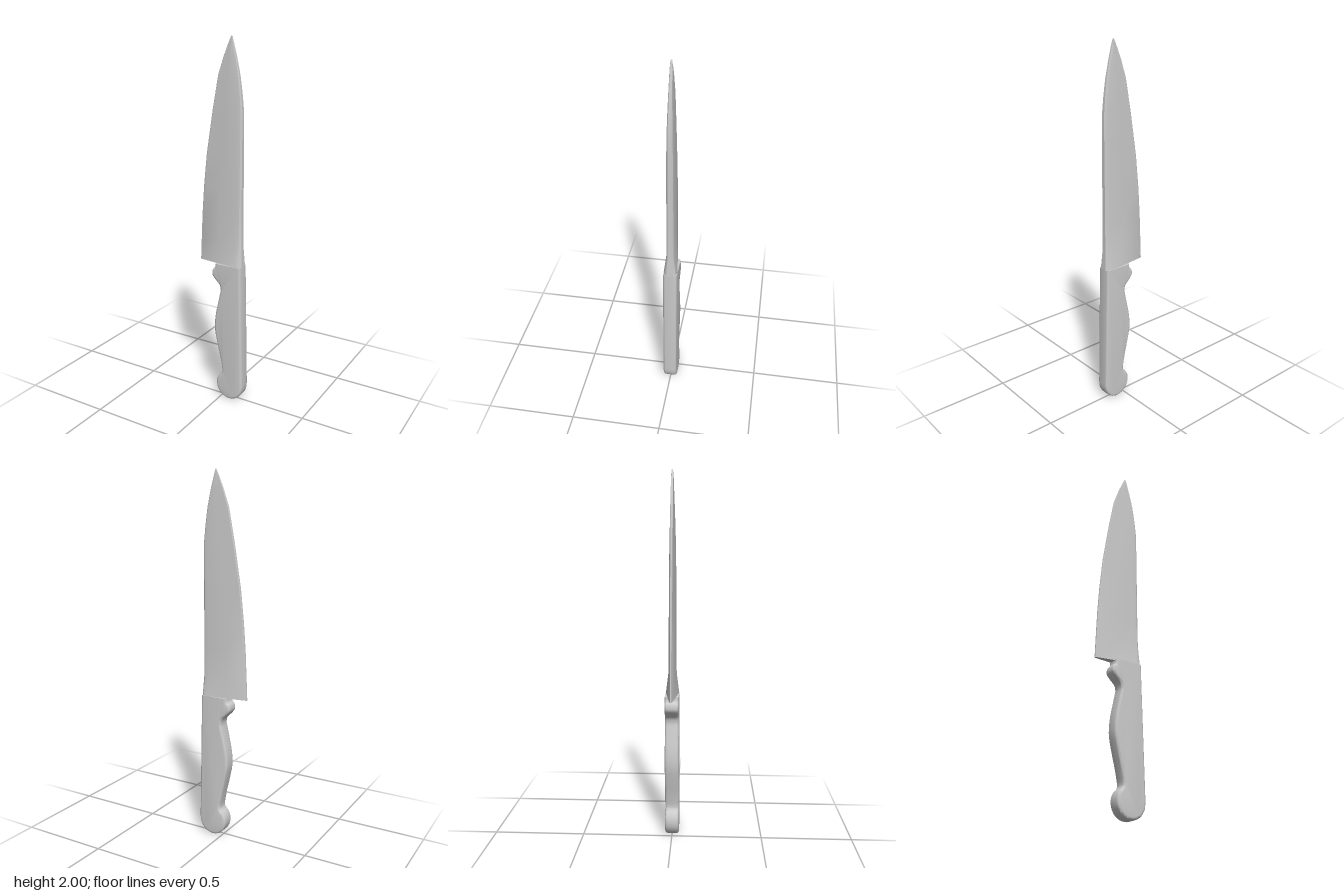
import * as THREE from 'three';
import { toCreasedNormals } from 'three/addons/utils/BufferGeometryUtils.js';

const material = new THREE.MeshStandardMaterial({ color: 0xcccccc, roughness: 0.6 });

// Blade stations: height, cutting-edge x, spine x, half thickness near the spine
const stations = [
  [0.807, -0.142, 0.124, 0.037],
  [0.92, -0.137, 0.117, 0.023],
  [1.07, -0.13, 0.116, 0.022],
  [1.22, -0.119, 0.116, 0.021],
  [1.40, -0.1, 0.116, 0.02],
  [1.53, -0.079, 0.116, 0.019],
  [1.635, -0.062, 0.115, 0.017],
  [1.72, -0.046, 0.107, 0.015],
  [1.81, -0.029, 0.095, 0.012],
  [1.90, 0.002, 0.076, 0.009],
  [1.96, 0.027, 0.06, 0.007],
  [2.0, 0.045, 0.049, 0.004],
];

// Loft a tapered section with a blunt edge and a chamfered spine
function bladeGeometry() {
  const positions = [];
  const index = [];
  for (const [y, edge, spine, t] of stations) {
    const te = Math.min(0.007, t * 0.7);
    const half = [
      [0, te * 0.5], [0.025, te], [0.45, te + (t - te) * 0.52],
      [0.87, t], [0.96, t * 0.85], [1, t * 0.5],
    ];
    const ring = [...half, ...half.map(([f, z]) => [f, -z]).reverse()];
    for (const [f, z] of ring) positions.push(edge + (spine - edge) * f, y, z);
  }
  const n = 12;
  const last = (stations.length - 1) * n;
  for (let s = 0; s < last; s += n) {
    for (let i = 0; i < n; i++) {
      const a = s + i;
      const b = s + ((i + 1) % n);
      index.push(a, b, b + n, a, b + n, a + n);
    }
  }
  // Heel and tip caps
  for (let i = 1; i < n - 1; i++) {
    index.push(0, i + 1, i, last, last + i, last + i + 1);
  }
  const geometry = new THREE.BufferGeometry();
  geometry.setAttribute('position', new THREE.Float32BufferAttribute(positions, 3));
  geometry.setIndex(index);
  return toCreasedNormals(geometry, 0.45);
}

// Contoured grip with finger guard, belly and rounded butt
function handleGeometry() {
  const v = (x, y) => new THREE.Vector2(x, y);
  const outline = new THREE.Shape();
  outline.moveTo(0.122, 0.84);
  outline.lineTo(0.138, 0.1);
  outline.splineThru([v(0.132, 0.06), v(0.11, 0.025), v(0.08, 0.008), v(0.055, 0.004),
    v(0.025, 0.01), v(-0.005, 0.032), v(-0.023, 0.066), v(-0.025, 0.105),
    v(-0.013, 0.137), v(0.008, 0.16), v(0.01, 0.185)]);
  outline.splineThru([v(-0.003, 0.255), v(-0.022, 0.335), v(-0.038, 0.42),
    v(-0.034, 0.5), v(-0.018, 0.58), v(0, 0.66)]);
  outline.splineThru([v(-0.006, 0.69), v(-0.035, 0.72), v(-0.053, 0.745),
    v(-0.05, 0.775), v(-0.034, 0.795), v(-0.034, 0.84)]);
  const bevel = 0.013;
  const geometry = new THREE.ExtrudeGeometry(outline, {
    depth: 0.076 - 2 * bevel,
    curveSegments: 3,
    bevelEnabled: true,
    bevelThickness: bevel,
    bevelSize: bevel,
    bevelOffset: -bevel,
    bevelSegments: 3,
  });
  geometry.translate(0, 0, -0.038 + bevel);
  // Square off the top so the grip meets the blade
  const p = geometry.attributes.position;
  for (let i = 0; i < p.count; i++) p.setY(i, Math.max(0, Math.min(p.getY(i) - 0.004, 0.808)));
  return toCreasedNormals(geometry, 0.55);
}

export function createModel() {
  const group = new THREE.Group();
  group.name = 'kitchenKnife';
  const parts = { blade: bladeGeometry(), handle: handleGeometry() };
  for (const [name, geometry] of Object.entries(parts)) {
    const mesh = new THREE.Mesh(geometry, material);
    mesh.name = name;
    group.add(mesh);
  }
  return group;
}
